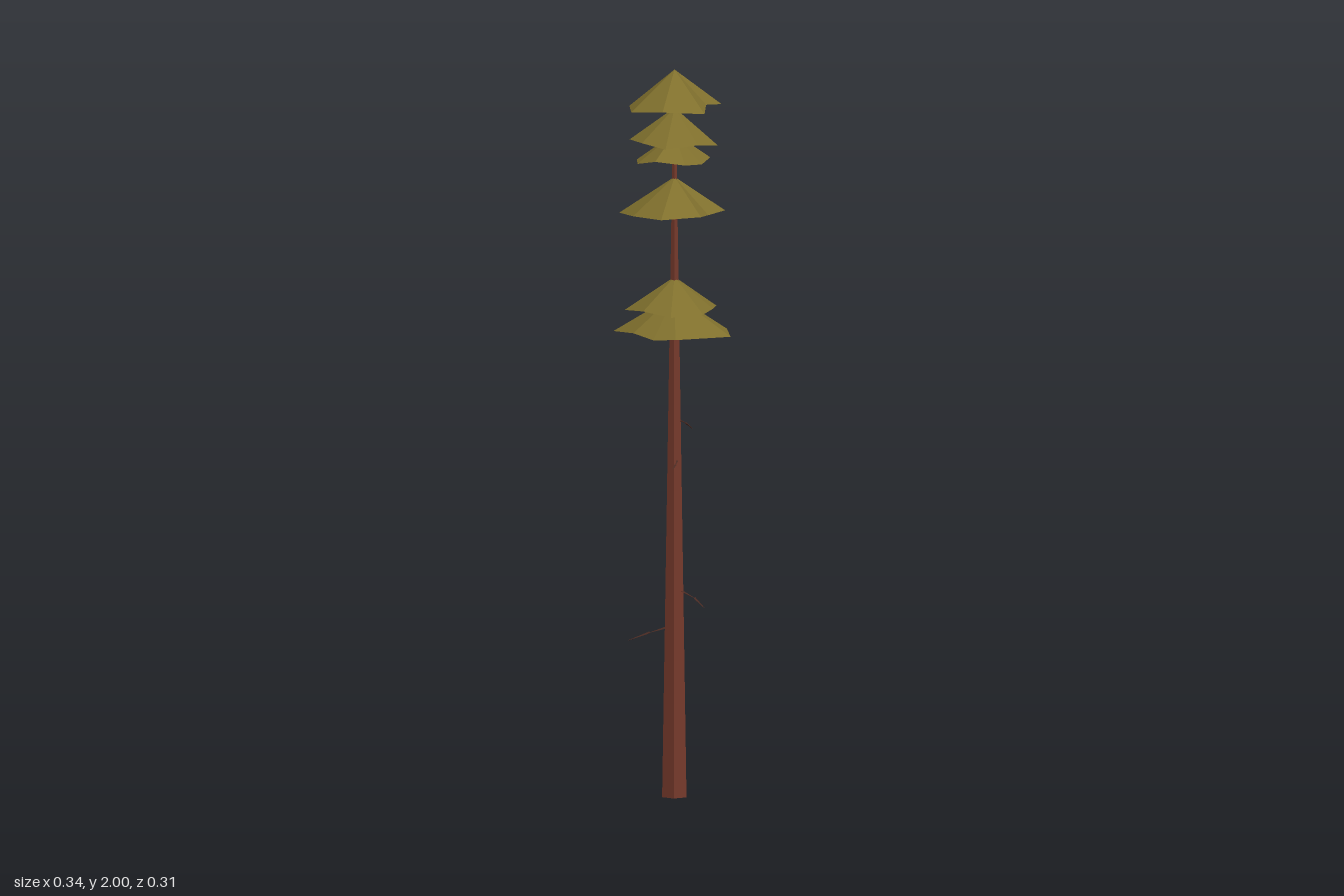
import * as THREE from 'three';

const bark = new THREE.MeshStandardMaterial({ color: 0x75392b, flatShading: true });
const twigMat = new THREE.MeshStandardMaterial({ color: 0x4a2a22, flatShading: true });
const needles = new THREE.MeshStandardMaterial({ color: 0x80702d, flatShading: true, side: THREE.DoubleSide });

// Open, ragged cone: apex height, rim height, rim points [x, z, lift] going round from +x through +z
function foliageTier(apexY, rimY, rim) {
  const pos = [];
  rim.forEach(([x, z, lift = 0], i) => {
    const [nx, nz, nLift = 0] = rim[(i + 1) % rim.length];
    pos.push(0, apexY, 0, nx, rimY + nLift, nz, x, rimY + lift, z);
  });
  const geo = new THREE.BufferGeometry();
  geo.setAttribute('position', new THREE.Float32BufferAttribute(pos, 3));
  geo.computeVertexNormals();
  return new THREE.Mesh(geo, needles);
}

// Thin tapered dead twig between two points
function twig(from, to) {
  const a = new THREE.Vector3(...from), b = new THREE.Vector3(...to);
  const dir = b.clone().sub(a);
  const mesh = new THREE.Mesh(new THREE.CylinderGeometry(0.0008, 0.0035, dir.length(), 3), twigMat);
  mesh.position.copy(a).add(b).multiplyScalar(0.5);
  mesh.quaternion.setFromUnitVectors(new THREE.Vector3(0, 1, 0), dir.normalize());
  return mesh;
}

export function createModel() {
  const tree = new THREE.Group();
  tree.name = 'tallPine';

  // Trunk
  const trunk = new THREE.Mesh(new THREE.CylinderGeometry(0.003, 0.035, 1.96, 5), bark);
  trunk.position.y = 0.98;
  trunk.rotation.y = 0.35;
  trunk.name = 'trunk';
  tree.add(trunk);

  // Foliage tiers, top to bottom
  const tiers = [
    [2.0, 1.89, [[0.085, -0.02, 0.015], [0.11, 0.05], [0.02, 0.13, 0.01], [-0.085, 0.1],
      [-0.14, -0.015], [-0.09, -0.07, 0.01], [-0.005, -0.157, -0.005], [0.105, -0.08, 0.01]]],
    [1.895, 1.795, [[0.12, -0.02], [0.095, 0.06, 0.01], [0.02, 0.11], [-0.06, 0.085, 0.01],
      [-0.12, 0.03, 0.01], [-0.08, -0.06], [0, -0.105, 0.005], [0.08, -0.07]]],
    [1.825, 1.745, [[0.085, 0.01], [0.065, 0.08, 0.005], [-0.01, 0.11, 0.015], [-0.08, 0.07],
      [-0.115, -0.01], [-0.07, -0.08, 0.01], [0.02, -0.135, -0.005], [0.08, -0.06, 0.01]]],
    [1.705, 1.605, [[0.1, 0], [0.11, 0.075, 0.005], [0.02, 0.14], [-0.08, 0.1],
      [-0.155, 0.02, -0.005], [-0.085, -0.08, 0.01], [0.01, -0.1, 0.01], [0.12, -0.07, 0.005]]],
    [1.43, 1.335, [[0.105, -0.02, 0.01], [0.11, 0.06, 0.005], [0.04, 0.12], [-0.05, 0.1, 0.01],
      [-0.135, 0.03], [-0.094, -0.08, 0.01], [0.01, -0.1, 0.02], [0.09, -0.08, 0.01]]],
    [1.38, 1.275, [[0.168, 0.005], [0.068, 0.153, 0.005], [0, 0.148], [-0.075, 0.11, 0.01],
      [-0.168, 0.03], [-0.094, -0.104], [0.022, -0.12, 0.005], [0.125, -0.07, 0.01]]],
  ];
  tiers.forEach((tier, i) => {
    const mesh = foliageTier(...tier);
    mesh.name = `foliageTier${i + 1}`;
    tree.add(mesh);
  });

  // Dead twigs, each a bent stem of two lengths
  const twigs = [
    [[-0.02, 0.465, 0.01], [-0.06, 0.452, 0.03], [-0.115, 0.43, 0.05]],
    [[0.02, 0.567, 0], [0.06, 0.55, 0.003], [0.092, 0.525, 0.008]],
    [[0.005, 1.035, -0.015], [0.008, 1.02, -0.06], [0.01, 1.0, -0.1]],
    [[0.012, 0.925, 0.01], [0.018, 0.917, 0.035], [0.024, 0.91, 0.07]],
  ];
  twigs.forEach(([a, b, c], i) => {
    const branch = new THREE.Group();
    branch.name = `deadTwig${i + 1}`;
    branch.add(twig(a, b), twig(b, c));
    tree.add(branch);
  });
  return tree;
}
